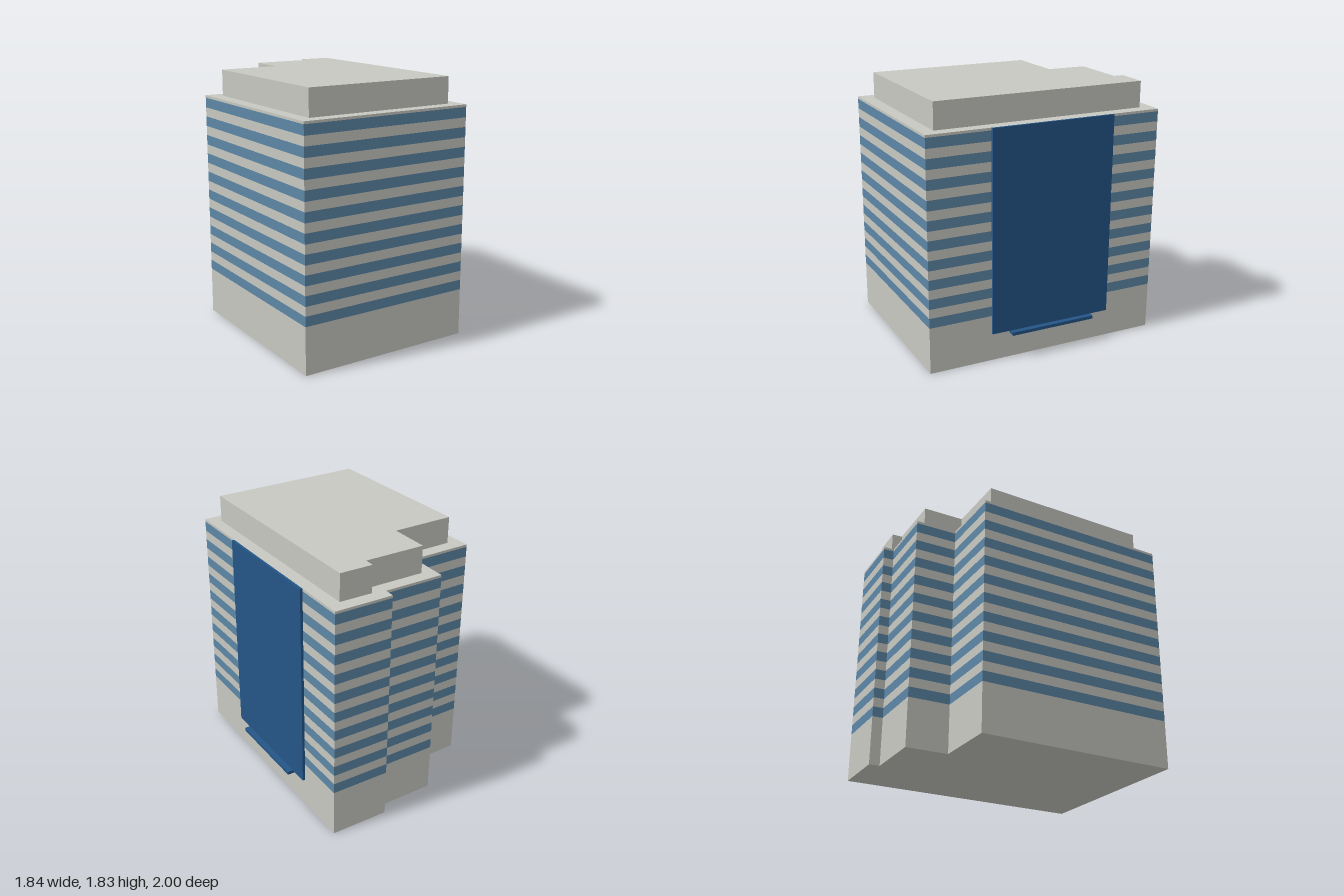
import * as THREE from 'three';

// Plan outlines as [x, z], starting at the back corner
const TOWER = [[-0.545, -1], [0.918, -0.105], [0.273, 0.995], [-0.905, 0.28],
  [-0.68, -0.1], [-0.92, -0.255], [-0.70, -0.615], [-0.76, -0.655]];
const PENTHOUSE = [[-0.515, -0.875], [0.797, -0.08], [0.24, 0.867], [-0.78, 0.247],
  [-0.557, -0.13], [-0.798, -0.283], [-0.578, -0.643], [-0.637, -0.683]];

const HEIGHT = 1.64, FLOORS = 10, FIRST = 0.333, PITCH = 0.1355, GLASS_H = 0.07;

const mat = (name, color) => {
  const m = new THREE.MeshStandardMaterial({ color });
  m.name = name;
  return m;
};

const shapeOf = (pts, sign) => new THREE.Shape(pts.map(([x, z]) => new THREE.Vector2(x, sign * z)));

// Ring of flat outward walls between two heights
function wallRing(pts, y0, y1) {
  const pos = [];
  pts.forEach(([ax, az], i) => {
    const [bx, bz] = pts[(i + 1) % pts.length];
    pos.push(ax, y0, az, ax, y1, az, bx, y0, bz);
    pos.push(bx, y0, bz, ax, y1, az, bx, y1, bz);
  });
  const g = new THREE.BufferGeometry();
  g.setAttribute('position', new THREE.Float32BufferAttribute(pos, 3));
  g.computeVertexNormals();
  return g;
}

export function createModel() {
  const model = new THREE.Group();
  model.name = 'officeTower';
  const concrete = mat('concrete', 0xc8c8c2);
  const glass = mat('windowGlass', 0x5d87a6);
  const blue = mat('bluePanel', 0x245587);

  const add = (name, geometry, material, parent = model) => {
    const m = new THREE.Mesh(geometry, material);
    m.name = name;
    parent.add(m);
    return m;
  };

  // Plain base, then alternating window strips and concrete bands
  add('baseWalls', wallRing(TOWER, 0, FIRST), concrete);
  for (let i = 0; i < FLOORS; i++) {
    const y = FIRST + i * PITCH;
    const next = i === FLOORS - 1 ? HEIGHT : y + PITCH;
    add('windowStrip', wallRing(TOWER, y, y + GLASS_H), glass);
    add('concreteBand', wallRing(TOWER, y + GLASS_H, next), concrete);
  }

  // Roof and underside
  add('roof', new THREE.ShapeGeometry(shapeOf(TOWER, -1)).rotateX(-Math.PI / 2), concrete).position.y = HEIGHT;
  add('underside', new THREE.ShapeGeometry(shapeOf(TOWER, 1)).rotateX(Math.PI / 2), concrete);

  // Set-back top storey
  const top = new THREE.ExtrudeGeometry(shapeOf(PENTHOUSE, -1), { depth: 0.185, bevelEnabled: false });
  add('penthouse', top.rotateX(-Math.PI / 2), concrete).position.y = HEIGHT;

  // Rear wall frame: local x runs along the wall, local -z points outward
  const rear = new THREE.Group();
  rear.name = 'rearPanel';
  rear.position.set(TOWER[0][0], 0, TOWER[0][1]);
  rear.rotation.y = -Math.atan2(TOWER[1][1] - TOWER[0][1], TOWER[1][0] - TOWER[0][0]);
  model.add(rear);
  const slab = (name, x0, x1, y0, y1, depth) =>
    add(name, new THREE.BoxGeometry(x1 - x0, y1 - y0, depth), blue, rear)
      .position.set((x0 + x1) / 2, (y0 + y1) / 2, -depth / 2);
  slab('curtainWall', 0.363, 1.263, 0.203, HEIGHT, 0.018);
  slab('entranceCanopy', 0.498, 1.128, 0.18, 0.203, 0.056);

  return model;
}
